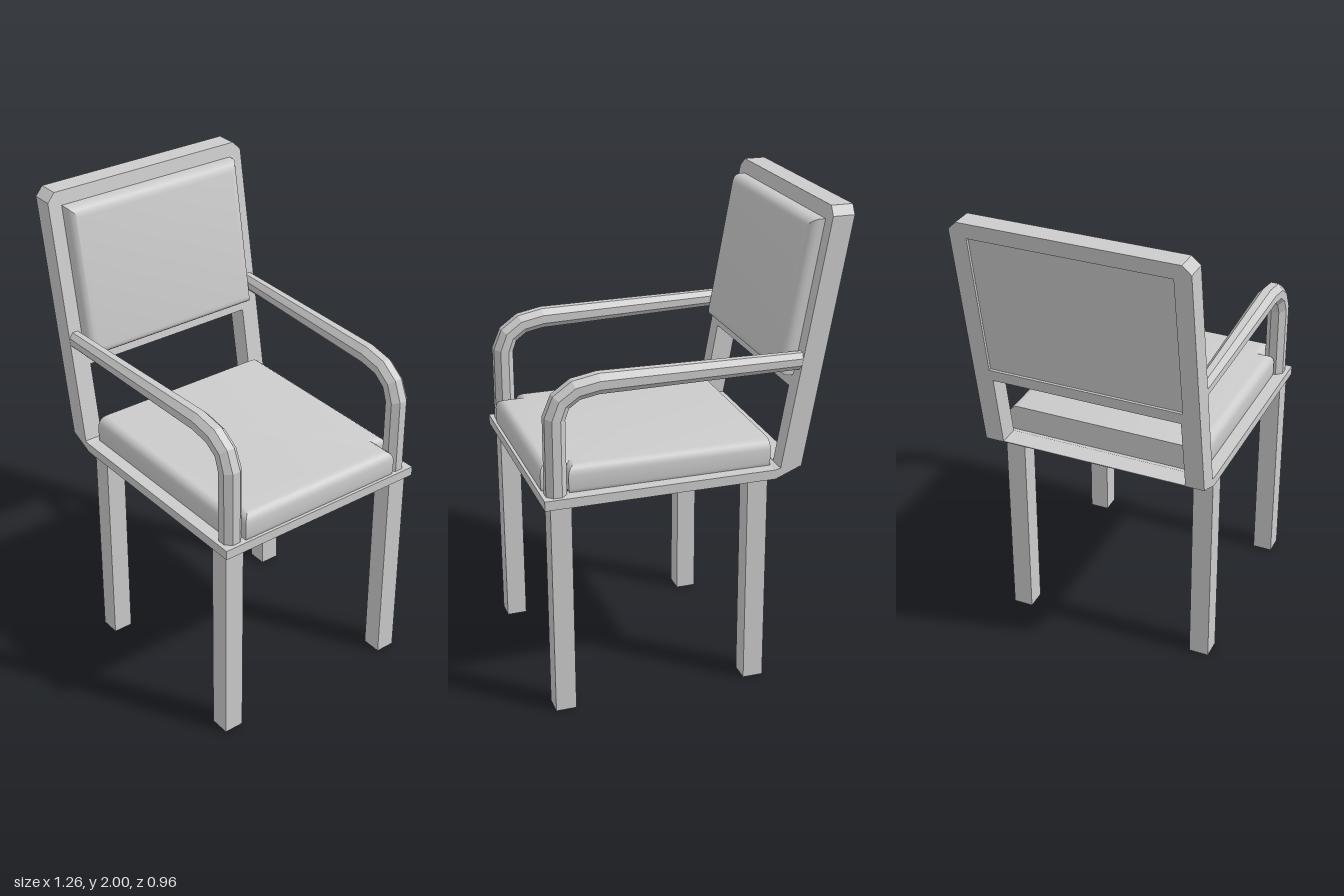
import * as THREE from 'three';
import { toCreasedNormals } from 'three/addons/utils/BufferGeometryUtils.js';

const material = new THREE.MeshStandardMaterial({ color: 0xcccccc });
const flat = new THREE.MeshStandardMaterial({ color: 0xcccccc, flatShading: true });

function polygon(points) {
  return new THREE.Shape(points.map(([x, y]) => new THREE.Vector2(x, y)));
}

function rect(x0, x1, y0, y1) {
  return polygon([[x0, y0], [x1, y0], [x1, y1], [x0, y1]]);
}

function add(group, name, geometry, mat = material) {
  const mesh = new THREE.Mesh(geometry, mat);
  mesh.name = name;
  group.add(mesh);
  return mesh;
}

function extrude(shape, depth, bevel = 0) {
  return new THREE.ExtrudeGeometry(shape, {
    depth: depth - 2 * bevel, bevelEnabled: bevel > 0,
    bevelSize: bevel, bevelThickness: bevel, bevelSegments: 4,
  }).translate(0, 0, bevel);
}

// Turns an upright extrusion to face +x and leans it back with the height
function lean(geometry, depthOffset = 0) {
  const p = geometry.attributes.position;
  for (let i = 0; i < p.count; i++) {
    const s = p.getX(i), y = p.getY(i), d = p.getZ(i) + depthOffset;
    p.setXYZ(i, -0.44 + d - 0.181 * (y - 0.95), y, -s);
  }
  return toCreasedNormals(geometry, 0.6);
}

// Eight-sided bar swept through rings of [x, y, z, pitch, half height, half width]
function armGeometry(side) {
  const rings = [
    [-0.47, 1.39, 0.45, 0, 0.034, 0.03],
    [0.39, 1.385, 0.424, 0, 0.042, 0.04],
    [0.48, 1.368, 0.422, -0.38, 0.042, 0.04],
    [0.54, 1.325, 0.42, -0.85, 0.042, 0.04],
    [0.566, 1.26, 0.42, -1.4, 0.042, 0.042],
    [0.567, 0.93, 0.42, -Math.PI / 2, 0.042, 0.042],
  ];
  const n = 8, pos = [], index = [];
  rings.forEach(([x, y, z, pitch, h, w], r) => {
    for (let k = 0; k < n; k++) {
      const a = ((k + 0.5) / n) * Math.PI * 2, c = 1 / Math.cos(Math.PI / n);
      const up = Math.cos(a) * h * c;
      pos.push(x - Math.sin(pitch) * up, y + Math.cos(pitch) * up, side * (z + Math.sin(a) * w * c));
      if (r === 0) continue;
      const k2 = (k + 1) % n, a0 = (r - 1) * n + k, b0 = (r - 1) * n + k2, a1 = r * n + k, b1 = r * n + k2;
      if (side > 0) index.push(a0, b0, a1, b0, b1, a1);
      else index.push(a0, a1, b0, b0, a1, b1);
    }
  });
  const g = new THREE.BufferGeometry();
  g.setAttribute('position', new THREE.Float32BufferAttribute(pos, 3));
  g.setIndex(index);
  g.computeVertexNormals();
  return g;
}

export function createModel() {
  const chair = new THREE.Group();
  chair.name = 'armchair';

  // Four square legs
  for (const [x, label] of [[-0.258, 'back'], [0.557, 'front']]) {
    for (const z of [-0.422, 0.422]) {
      add(chair, label + 'Leg', new THREE.BoxGeometry(0.085, 0.91, 0.085)).position.set(x, 0.455, z);
    }
  }

  // Seat frame, open in the middle
  const seatFrame = rect(-0.33, 0.625, -0.48, 0.48);
  seatFrame.holes.push(rect(-0.26, 0.555, -0.41, 0.41));
  add(chair, 'seatFrame', extrude(seatFrame, 0.04).rotateX(-Math.PI / 2).translate(0, 0.905, 0));

  // Rear rail joining the seat frame to the backrest
  const rail = polygon([[-0.44, 0.95], [-0.33, 0.905], [-0.325, 0.905], [-0.325, 0.945], [-0.35, 0.95]]);
  add(chair, 'rearRail', extrude(rail, 0.96).translate(0, 0, -0.48));

  // Seat cushion with corner notches for the arms and a square rear edge
  const b = 0.04;
  const outline = polygon([
    [-0.325 + b, -0.43 + b], [0.515 - b, -0.43 + b], [0.515 - b, -0.38 + b], [0.615 - b, -0.38 + b],
    [0.615 - b, 0.38 - b], [0.515 - b, 0.38 - b], [0.515 - b, 0.43 - b], [-0.325 + b, 0.43 - b],
  ]);
  const seat = extrude(outline, 0.135, b).rotateX(-Math.PI / 2).translate(0, 0.92, 0);
  const p = seat.attributes.position;
  for (let i = 0; i < p.count; i++) if (p.getX(i) < -0.28) p.setX(i, -0.325);
  add(chair, 'seatCushion', toCreasedNormals(seat, 0.6));

  // Leaning back frame with a lower opening and a panel opening
  const back = polygon([
    [-0.48, 0.948], [0.48, 0.948], [0.48, 1.965], [0.445, 2], [-0.445, 2], [-0.48, 1.965],
  ]);
  back.holes.push(rect(-0.4, 0.4, 0.952, 1.27), rect(-0.41, 0.41, 1.32, 1.935));
  add(chair, 'backFrame', lean(extrude(back, 0.09)));

  // Rear panel and padded back cushion
  add(chair, 'backPanel', lean(extrude(rect(-0.412, 0.412, 1.318, 1.937), 0.055), 0.012));
  add(chair, 'backCushion', lean(extrude(rect(-0.38, 0.38, 1.36, 1.903), 0.135, 0.04), 0.018));

  // Bent armrests
  for (const side of [1, -1]) add(chair, side > 0 ? 'leftArm' : 'rightArm', armGeometry(side), flat);

  return chair;
}
